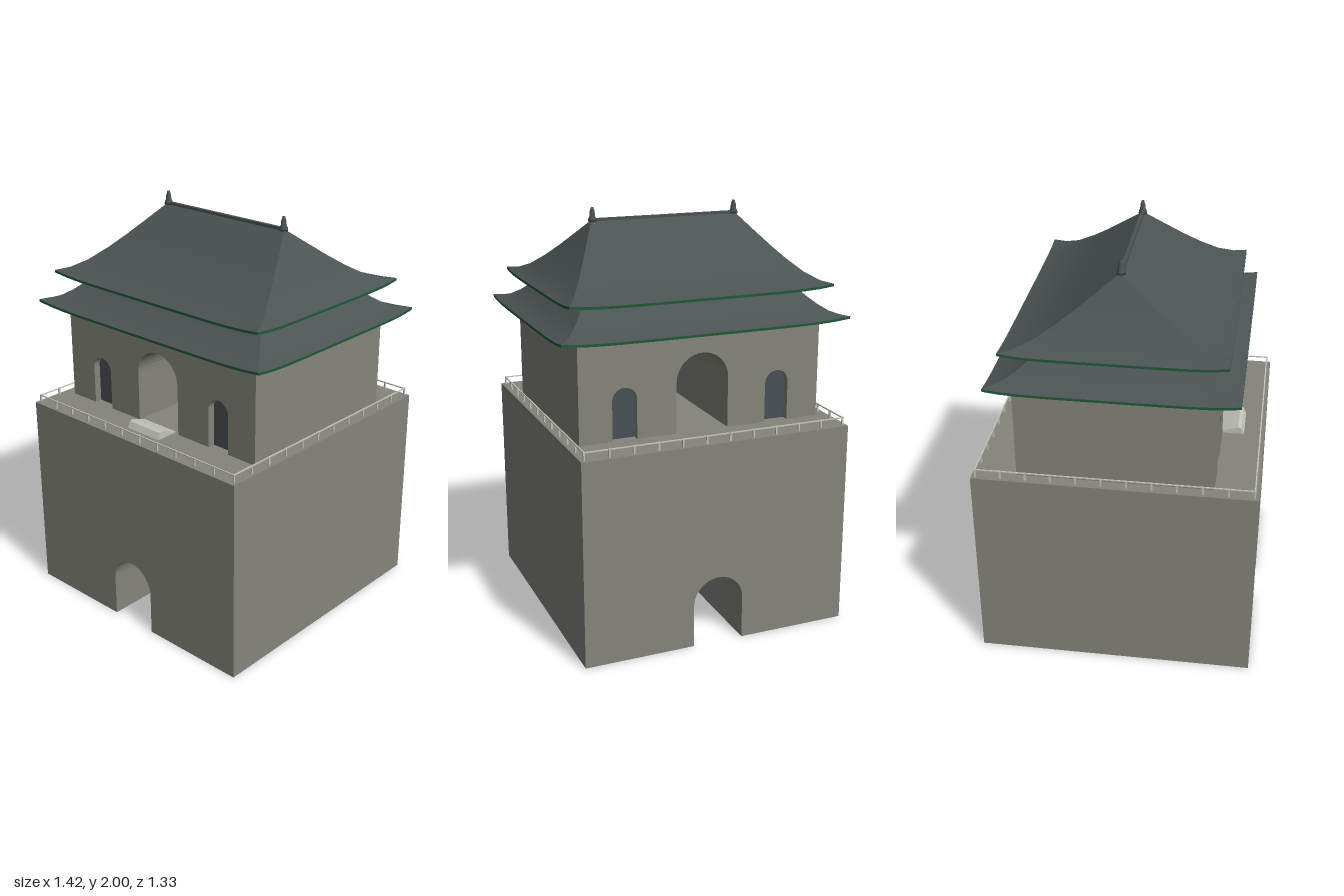
import * as THREE from 'three';

const material = (name, color, side = THREE.FrontSide) => {
  const m = new THREE.MeshStandardMaterial({ color, side });
  m.name = name;
  return m;
};

// Arch outline with its foot at (cx, y0)
function archPoints(cx, y0, half, spring, n = 20) {
  const pts = [[cx - half, y0]];
  for (let i = 0; i <= n; i++) {
    const a = Math.PI * (1 - i / n);
    pts.push([cx + half * Math.cos(a), spring + half * Math.sin(a)]);
  }
  pts.push([cx + half, y0]);
  return pts;
}

// Extrude an outline along z, centred on z = 0
function extrude(points, depth) {
  const shape = new THREE.Shape(points.map(([x, y]) => new THREE.Vector2(x, y)));
  return new THREE.ExtrudeGeometry(shape, { depth, bevelEnabled: false }).translate(0, 0, -depth / 2);
}

// Block with arched notches cut up from its foot
function archedBlock(hx, y0, y1, depth, arches) {
  const foot = arches.flatMap(([cx, half, spring]) => archPoints(cx, y0, half, spring));
  return extrude([[-hx, y0], ...foot, [hx, y0], [hx, y1], [-hx, y1]], depth);
}

// Four-sided shell through rectangles [halfX, halfZ, y, cornerLift]
function hippedShell(levels, n = 16) {
  const pos = [], index = [];
  for (let side = 0; side < 4; side++) {
    const start = pos.length / 3;
    for (const [hx, hz, y, lift = 0] of levels) {
      const c = [[-hx, hz], [hx, hz], [hx, -hz], [-hx, -hz]];
      const a = c[side], b = c[(side + 1) % 4];
      for (let i = 0; i <= n; i++) {
        const u = i / n;
        pos.push(a[0] + (b[0] - a[0]) * u, y + lift * Math.abs(2 * u - 1) ** 6, a[1] + (b[1] - a[1]) * u);
      }
    }
    for (let j = 0; j < levels.length - 1; j++) {
      for (let i = 0; i < n; i++) {
        const p = start + j * (n + 1) + i, q = p + n + 1;
        index.push(p, p + 1, q, p + 1, q + 1, q);
      }
    }
  }
  const g = new THREE.BufferGeometry();
  g.setAttribute('position', new THREE.Float32BufferAttribute(pos, 3));
  g.setIndex(index);
  g.computeVertexNormals();
  return g;
}

export function createModel() {
  const stone = material('grey stone', 0x85857c);
  const slate = material('slate tiles', 0x4c5355);
  const green = material('green eaves', 0x1f5a38, THREE.DoubleSide);
  const doorDark = material('dark doors', 0x485055);
  const pale = material('pale stone', 0xc4c4bc);

  const model = new THREE.Group();
  const add = (name, geometry, mat, x = 0, y = 0, z = 0, parent = model) => {
    const mesh = new THREE.Mesh(geometry, mat);
    mesh.name = name;
    mesh.position.set(x, y, z);
    parent.add(mesh);
    return mesh;
  };
  const box = (w, h, d) => new THREE.BoxGeometry(w, h, d);

  // Masonry: tall base with a tunnel, upper hall with passage and door niches
  add('base', archedBlock(0.665, 0, 1, 1.33, [[0, 0.125, 0.21]]), stone);
  const doorX = 0.385;
  add('hall', archedBlock(0.605, 1, 1.46, 0.92,
    [[-doorX, 0.06, 1.19], [0, 0.13, 1.245], [doorX, 0.06, 1.19]]), stone);
  for (const s of [-1, 1]) {
    add('doors', extrude(archPoints(s * doorX, 1, 0.06, 1.19), 0.85), doorDark);
  }
  add('upperWall', box(0.96, 0.155, 0.66), stone, 0, 1.5625, 0);

  // Two curved roofs, each with green eave trim and underside
  const roof = (name, levels) => {
    const group = new THREE.Group();
    group.name = name;
    model.add(group);
    const [hx, hz, y, lift] = levels[0];
    add('tiles', hippedShell(levels), slate, 0, 0, 0, group);
    add('eaveTrim', hippedShell([[hx, hz, y - 0.012, lift], [hx, hz, y, lift]]), green, 0, 0, 0, group);
    add('underside', hippedShell(levels), green, 0, -0.012, 0, group);
  };
  roof('lowerRoof', [
    [0.71, 0.565, 1.49, 0.015], [0.675, 0.525, 1.503, 0.006], [0.64, 0.48, 1.522],
    [0.605, 0.435, 1.547], [0.57, 0.39, 1.58], [0.54, 0.35, 1.61], [0.475, 0.325, 1.611],
  ]);
  const slope = [[0.505, 1.638, 0.015], [0.44, 1.655, 0.006], [0.36, 1.69], [0.27, 1.743],
    [0.19, 1.798], [0.1, 1.865], [0.006, 1.936]];
  roof('upperRoof', slope.map(([z, y, lift]) => [0.37 + 0.555 * z, z, y, lift]));

  // Ridge and finials
  add('ridge', box(0.74, 0.016, 0.018), slate, 0, 1.939, 0);
  const finial = new THREE.LatheGeometry([[0, 0], [0.021, 0], [0.02, 0.012], [0.014, 0.022],
    [0.012, 0.045], [0.006, 0.065], [0, 0.066]].map(([r, y]) => new THREE.Vector2(r, y)), 12);
  for (const s of [-1, 1]) add('finial', finial, slate, s * 0.365, 1.934, 0);

  // Terrace railing, one run per side
  const edge = 0.645, bays = 11;
  for (let side = 0; side < 4; side++) {
    const run = new THREE.Group();
    run.name = 'railing';
    run.rotation.y = side * Math.PI / 2;
    model.add(run);
    add('rail', box(edge * 2, 0.005, 0.006), pale, 0, 1.037, edge, run);
    for (let i = 0; i < bays; i++) {
      add('post', box(0.008, 0.041, 0.008), pale, -edge + 2 * edge * i / bays, 1.0205, edge, run);
    }
  }

  // Low sloping stand in front of the passage
  const stand = extrude([[-0.565, 1], [-0.45, 1], [-0.45, 1.006], [-0.505, 1.026],
    [-0.535, 1.036], [-0.55, 1.03]], 0.205);
  add('stand', stand, pale).rotation.y = Math.PI / 2;

  return model;
}
